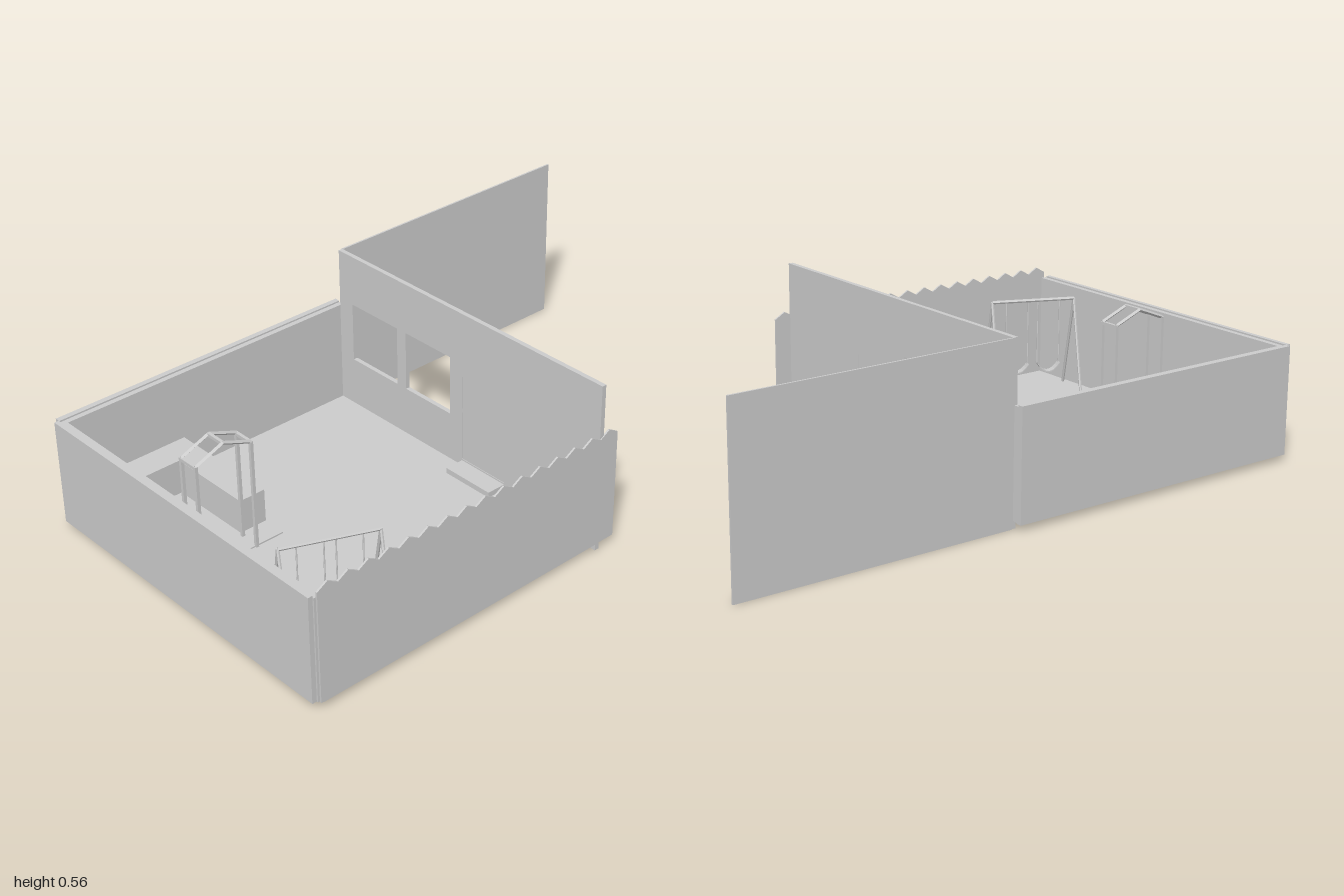
import * as THREE from 'three';

const mat = new THREE.MeshStandardMaterial({ color: 0xcccccc, flatShading: true, side: THREE.DoubleSide });

function add(parent, name, geometry) {
  const mesh = new THREE.Mesh(geometry, mat);
  mesh.name = name;
  parent.add(mesh);
  return mesh;
}

// Box given by its minimum and maximum corners
function box(parent, name, x0, x1, y0, y1, z0, z1) {
  const mesh = add(parent, name, new THREE.BoxGeometry(x1 - x0, y1 - y0, z1 - z0));
  mesh.position.set((x0 + x1) / 2, (y0 + y1) / 2, (z0 + z1) / 2);
  return mesh;
}

// Straight bar between two points
function bar(parent, name, a, b, r, sides = 6) {
  const p = new THREE.Vector3(...a), q = new THREE.Vector3(...b);
  const dir = q.clone().sub(p);
  const mesh = add(parent, name, new THREE.CylinderGeometry(r, r, dir.length(), sides));
  mesh.position.copy(p).add(q).multiplyScalar(0.5);
  mesh.quaternion.setFromUnitVectors(new THREE.Vector3(0, 1, 0), dir.normalize());
  return mesh;
}

const poly = (pts, Type = THREE.Shape) => new Type(pts.map(p => new THREE.Vector2(...p)));
const rect = (a0, a1, b0, b1) => [[a0, b0], [a1, b0], [a1, b1], [a0, b1]];

// Plan shape (x, z) extruded upwards from y0 to y1
function plan(shape, y0, y1) {
  return new THREE.ExtrudeGeometry(shape, { depth: y1 - y0, bevelEnabled: false })
    .rotateX(Math.PI / 2).translate(0, y1, 0);
}

function createHouse() {
  const g = new THREE.Group();
  g.name = 'house';
  // Side wall drawn in (-z, y), with two windows and a doorway
  const wall = poly(rect(-0.58, 0.55, 0, 0.56));
  for (const r of [[0.04, 0.24, 0.19, 0.39], [0.28, 0.49, 0.19, 0.39], [-0.2, -0.015, 0.05, 0.345]])
    wall.holes.push(poly(rect(...r), THREE.Path));
  add(g, 'houseWall', new THREE.ExtrudeGeometry(wall, { depth: 0.015, bevelEnabled: false })
    .rotateY(Math.PI / 2).translate(0.065, 0, 0));
  box(g, 'door', 0.067, 0.078, 0.05, 0.345, 0.015, 0.2);
  box(g, 'doorStep', 0, 0.065, 0, 0.045, 0.015, 0.2);
  box(g, 'rearHouseWall', 0.08, 1, 0, 0.56, -0.553, -0.547);
  return g;
}

function createBoundary() {
  const g = new THREE.Group();
  g.name = 'boundary';
  // Double-layer garden walls with a slightly higher outer layer
  box(g, 'rightWallInner', -0.985, -0.967, 0.025, 0.365, -0.565, 0.575);
  box(g, 'rightWallOuter', -1, -0.985, 0.025, 0.37, -0.57, 0.57);
  box(g, 'backWallInner', -0.985, 0.075, 0.025, 0.365, -0.567, -0.55);
  box(g, 'backWallOuter', -0.985, 0.075, 0.02, 0.37, -0.585, -0.567);
  // Front fence with a zigzag top edge
  const pts = [[-0.98, 0.025], [0.135, 0.025]], teeth = 16, w = 1.115 / teeth;
  for (let i = teeth; i > 0; i--) {
    const x = -0.98 + i * w;
    pts.push([x, 0.384], [x - w / 2, 0.404]);
  }
  pts.push([-0.98, 0.384]);
  add(g, 'frontFence', new THREE.ExtrudeGeometry(poly(pts), { depth: 0.006, bevelEnabled: false })
    .translate(0, 0, 0.577));
  return g;
}

function createSeating() {
  const g = new THREE.Group();
  g.name = 'terrace';
  // Ground sheet, cut out under the hollow U-shaped bench
  const u = [[-0.965, -0.55], [-0.57, -0.55], [-0.57, -0.16], [-0.66, -0.16],
    [-0.66, -0.455], [-0.87, -0.455], [-0.87, -0.16], [-0.965, -0.16]];
  const ground = poly(rect(-0.97, 0.07, -0.56, 0.58));
  ground.holes.push(poly(u, THREE.Path));
  add(g, 'ground', plan(ground, 0.02, 0.027));
  add(g, 'benchTop', plan(poly(u), 0.138, 0.142));
  u.forEach(([x, z], i) => {
    const [x2, z2] = u[(i + 1) % u.length];
    const side = add(g, 'benchSide', new THREE.PlaneGeometry(Math.hypot(x2 - x, z2 - z), 0.118));
    side.position.set((x + x2) / 2, 0.081, (z + z2) / 2);
    side.rotation.y = x === x2 ? Math.PI / 2 : 0;
  });
  box(g, 'benchPaving', -0.965, -0.57, 0.02, 0.032, -0.16, -0.08);
  return g;
}

function createArch() {
  const g = new THREE.Group();
  g.name = 'gardenArch';
  // Four posts, pitched rafters and lengthwise rails
  for (const x of [-0.862, -0.668]) {
    for (const z of [-0.145, -0.08]) {
      box(g, 'archPost', x - 0.005, x + 0.005, 0.02, 0.392, z - 0.005, z + 0.005);
      bar(g, 'archRafter', [x, 0.39, z], [-0.765, 0.428, z], 0.006, 4);
    }
    box(g, 'archRail', x - 0.005, x + 0.005, 0.382, 0.392, -0.145, -0.08);
  }
  box(g, 'archRidge', -0.77, -0.76, 0.422, 0.432, -0.145, -0.08);
  return g;
}

function createSwing() {
  const g = new THREE.Group();
  g.name = 'swing';
  const half = 0.143, top = 0.35;
  bar(g, 'swingBeam', [-half, top, 0], [half, top, 0], 0.006);
  for (const x of [-half, half])
    for (const z of [-0.108, 0.108]) bar(g, 'swingLeg', [x, 0.02, z], [x, top, 0], 0.005);
  // Two hanging seats with sagging boards
  for (const c of [-0.055, 0.055]) {
    for (const s of [-1, 1]) bar(g, 'swingRope', [c + s * 0.038, 0.13, 0], [c + s * 0.038, top, 0], 0.0025);
    const seat = new THREE.BoxGeometry(0.078, 0.004, 0.028, 8, 1, 1);
    const p = seat.attributes.position;
    for (let i = 0; i < p.count; i++) p.setY(i, p.getY(i) - 0.03 * (1 - (p.getX(i) / 0.039) ** 2));
    add(g, 'swingSeat', seat).position.set(c, 0.13, 0);
  }
  g.position.set(-0.774, 0, 0.388);
  g.rotation.y = -0.41;
  return g;
}

export function createModel() {
  const model = new THREE.Group();
  model.name = 'walledGarden';
  model.add(createHouse(), createBoundary(), createSeating(), createArch(), createSwing());
  return model;
}
